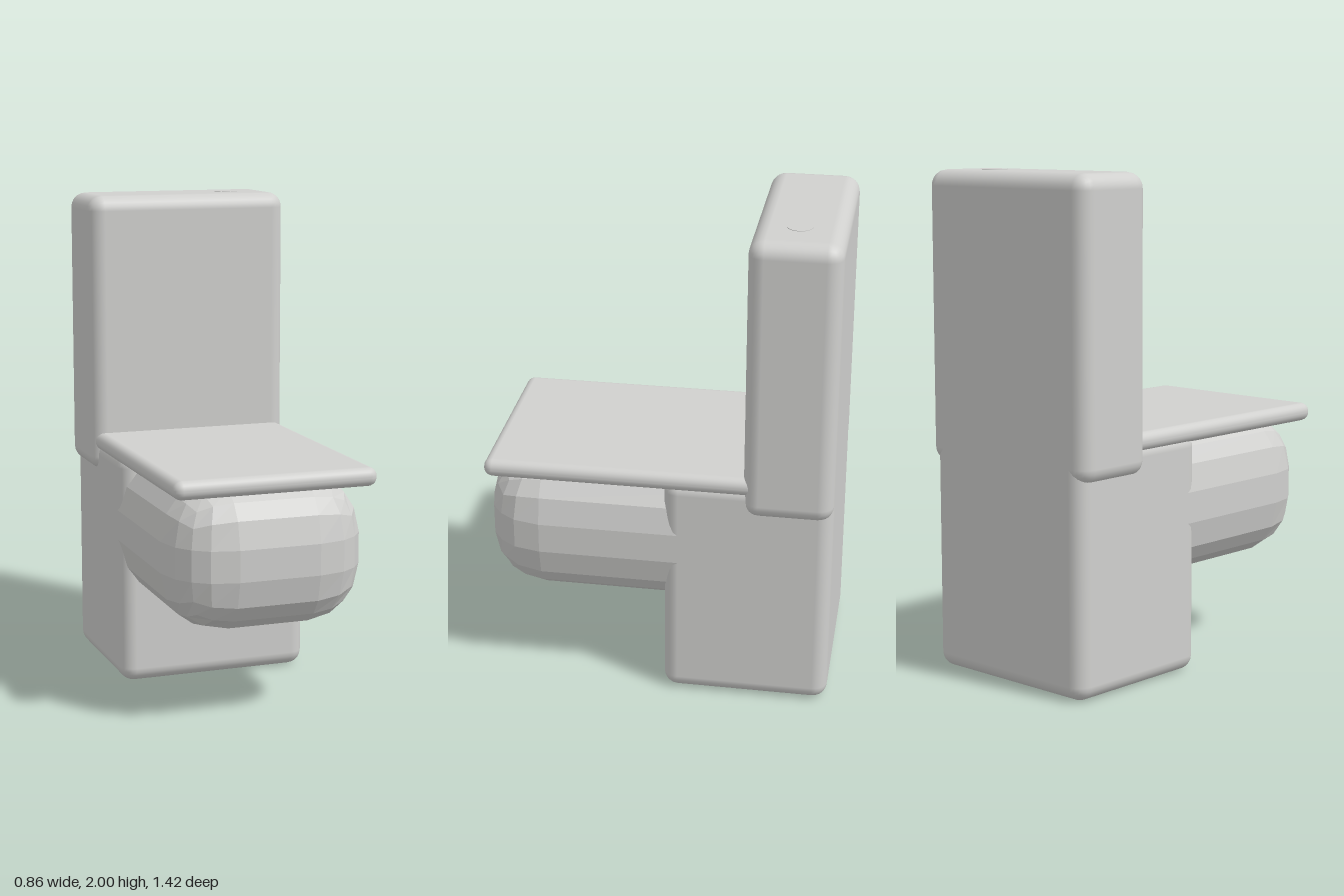
import * as THREE from 'three';
import { RoundedBoxGeometry } from 'three/addons/geometries/RoundedBoxGeometry.js';

export function createModel() {
  const model = new THREE.Group();
  model.name = 'toilet';
  const ceramic = new THREE.MeshStandardMaterial({ color: 0xd0d0ce });
  ceramic.name = 'paleGreyCeramic';

  // Rounded block centred on x = 0, given by its half width and its y and z limits
  function block(name, halfWidth, [y0, y1], [z0, z1], radius, segments, faceted = false) {
    const geometry = new RoundedBoxGeometry(halfWidth * 2, y1 - y0, z1 - z0, segments, radius);
    if (faceted) geometry.computeVertexNormals();
    const mesh = new THREE.Mesh(geometry, ceramic);
    mesh.name = name;
    mesh.position.set(0, (y0 + y1) / 2, (z0 + z1) / 2);
    model.add(mesh);
  }

  block('pedestal', 0.405, [0, 0.97], [-0.712, -0.035], 0.06, 3);
  block('bowl', 0.405, [0.365, 0.97], [-0.5, 0.712], 0.24, 2, true);
  block('lid', 0.415, [0.93, 1.005], [-0.45, 0.69], 0.036, 3);
  block('cistern', 0.43, [0.84, 1.998], [-0.712, -0.354], 0.062, 3);

  // Flush button, barely proud of the cistern top
  const button = new THREE.Mesh(new THREE.CylinderGeometry(0.05, 0.05, 0.02, 24), ceramic);
  button.name = 'flushButton';
  button.position.set(0.225, 1.99, -0.53);
  model.add(button);

  return model;
}
